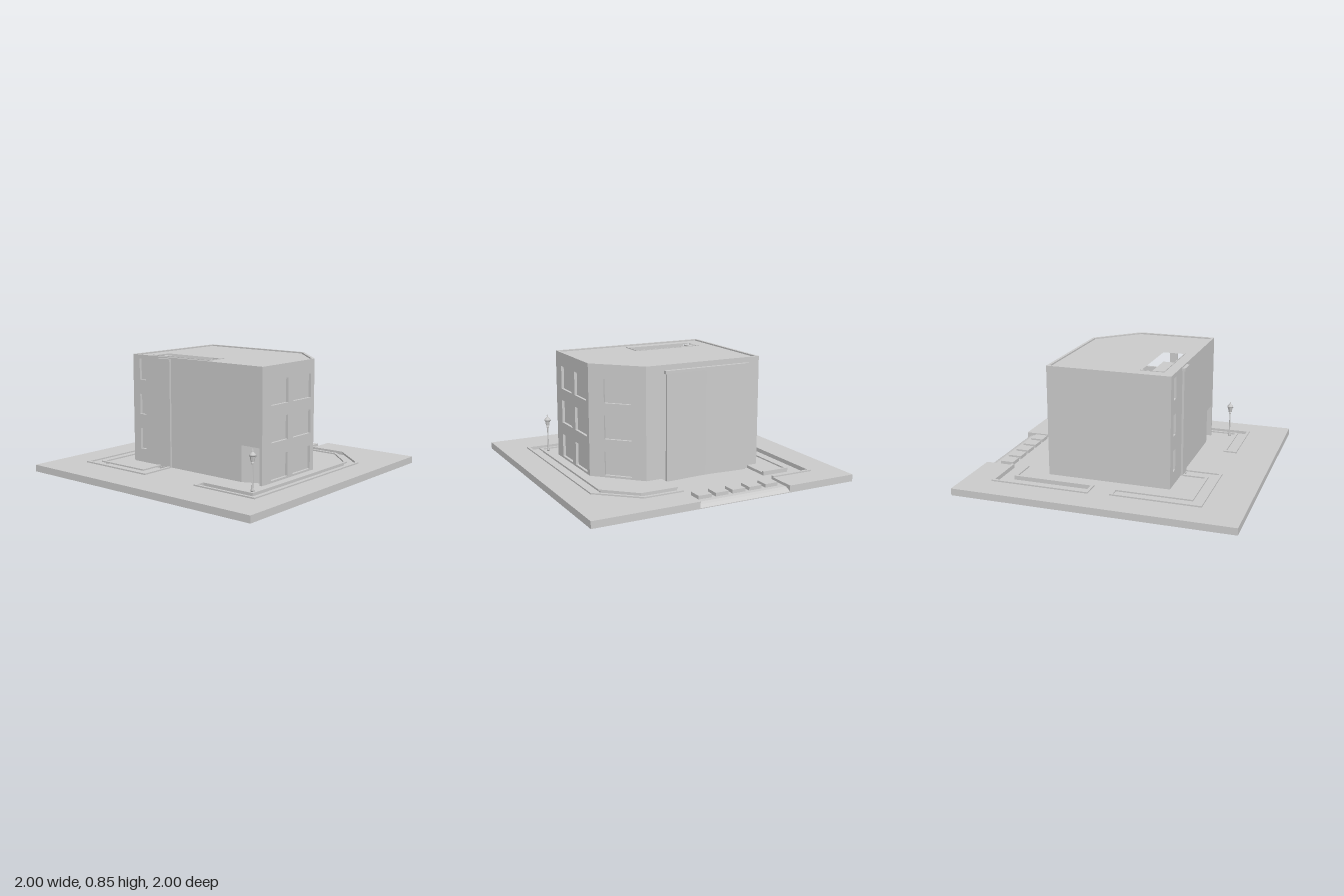
import * as THREE from 'three';

const mat = new THREE.MeshStandardMaterial({ color: 0xcccccc, flatShading: true });
const smooth = new THREE.MeshStandardMaterial({ color: 0xcccccc });

// Plan outline as [x, z] pairs
const plan = (pts) => new THREE.Shape(pts.map(([x, z]) => new THREE.Vector2(x, -z)));

export function createModel() {
  const model = new THREE.Group();

  const add = (name, geo, material = mat, parent = model) => {
    const mesh = new THREE.Mesh(geo, material);
    mesh.name = name;
    parent.add(mesh);
    return mesh;
  };
  // Extrudes a plan outline upwards from y0 to y1
  const slab = (name, pts, y0, y1, holes = []) => {
    const shape = plan(pts);
    holes.forEach((h) => shape.holes.push(plan(h)));
    const geo = new THREE.ExtrudeGeometry(shape, { depth: y1 - y0, bevelEnabled: false });
    geo.rotateX(-Math.PI / 2).translate(0, y0, 0);
    return add(name, geo);
  };
  const box = (name, x0, x1, y0, y1, z0, z1) => add(name,
    new THREE.BoxGeometry(x1 - x0, y1 - y0, z1 - z0)
      .translate((x0 + x1) / 2, (y0 + y1) / 2, (z0 + z1) / 2));

  // Ground: lower slab, and an upper layer cut out for driveway and paths
  const D0 = -0.465, D1 = 0.235;
  slab('groundSlab', [[-1, -1], [D0, -1], [D0, -0.95], [D1, -0.95], [D1, -1], [1, -1], [1, 1], [-1, 1]], 0, 0.03);
  const leftPath = [[D0, -0.78], [-0.77, -0.78], [-0.77, -0.1], [-0.67, -0.1], [-0.67, -0.68], [D0, -0.68]];
  const rightPath = [[D1, -0.68], [0.505, -0.68], [0.71, -0.49], [0.71, 0.61], [0.29, 0.61],
    [0.29, 0.71], [0.805, 0.71], [0.805, -0.54], [0.53, -0.78], [D1, -0.78]];
  const frontPath = [[-0.165, 0.45], [-0.165, 0.71], [-0.77, 0.71], [-0.77, 0.07], [-0.67, 0.07],
    [-0.67, 0.61], [-0.28, 0.61], [-0.28, 0.45]];
  slab('groundTop', [[-1, -1], [D0, -1], ...leftPath, [D0, -0.46], [D1, -0.46], ...rightPath,
    [D1, -1], [1, -1], [1, 1], [-1, 1]], 0.03, 0.05, [frontPath]);

  // Low kerbs: a mitred strip along each path edge
  const kerb = (pts, d) => {
    const normals = pts.slice(1).map(([x, z], i) => {
      const v = new THREE.Vector2(x - pts[i][0], z - pts[i][1]).normalize();
      return new THREE.Vector2(v.y, -v.x);
    });
    const outer = pts.map(([x, z], i) => {
      const a = normals[Math.max(i - 1, 0)], b = normals[Math.min(i, normals.length - 1)];
      const k = d / (1 + a.dot(b));
      return [x + (a.x + b.x) * k, z + (a.y + b.y) * k];
    });
    slab('pathKerb', [...pts, ...outer.reverse()], 0.05, 0.06);
  };
  kerb(leftPath, -0.02);
  kerb(rightPath, 0.02);
  kerb(frontPath, -0.02);

  // Driveway: sloping lip and a row of paving blocks
  const lip = new THREE.Shape([[0.95, 0], [1, 0], [1, 0.005], [0.975, 0.022], [0.95, 0.03]]
    .map(([s, y]) => new THREE.Vector2(s, y)));
  add('drivewayLip', new THREE.ExtrudeGeometry(lip, { depth: D1 - D0, bevelEnabled: false })
    .rotateY(Math.PI / 2).translate(D0, 0, 0));
  for (let i = 0; i < 5; i++) {
    const x = -0.375 + i * 0.131;
    box('drivewayBlock', x - 0.05, x + 0.05, 0.001, 0.055, -0.91, -0.81);
  }

  // Building core, with a slanted entrance notch below and a roof well above
  const T = 0.02;
  const inner = [[-0.525, -0.445], [0.347, -0.445], [0.63, -0.162], [0.63, 0.41], [-0.525, 0.41]];
  slab('lowerCore', [...inner.slice(0, 3), [0.63, 0.36], [0.519, 0.41], inner[4]], 0.03, 0.305);
  const well = [[-0.42, 0.18], [0.11, 0.18], [0.11, 0.34], [-0.42, 0.34]];
  slab('upperCore', inner, 0.305, 0.84, [well]);
  slab('wellRim', [[-0.425, 0.175], [0.115, 0.175], [0.115, 0.345], [-0.425, 0.345]], 0.84, 0.845, [well]);

  // Stairs going down into the roof well
  box('wellFloor', -0.42, 0.11, 0.7, 0.77, 0.18, 0.34);
  for (let i = 0; i < 6; i++) {
    box('roofStep', -0.42 + i * 0.038, -0.382 + i * 0.038, 0.77, 0.83 - i * 0.01, 0.18, 0.34);
  }

  // Outer walls, each with rectangular openings [u0, u1, y0, y1]
  const wall = (name, [ax, az], [bx, bz], openings = []) => {
    const len = Math.hypot(bx - ax, bz - az);
    const rect = (C, u0, u1, y0, y1) => new C(
      [[u0, y0], [u1, y0], [u1, y1], [u0, y1]].map(([u, y]) => new THREE.Vector2(u, y)));
    const shape = rect(THREE.Shape, 0, len, 0.03, 0.85);
    openings.forEach((o) => shape.holes.push(rect(THREE.Path, ...o)));
    const geo = new THREE.ExtrudeGeometry(shape, { depth: T, bevelEnabled: false }).translate(0, 0, -T);
    const mesh = add(name, geo);
    mesh.position.set(ax, 0, az);
    mesh.rotation.y = Math.atan2(az - bz, bx - ax);
  };
  const grid = (cols, rows) => cols.flatMap((c) => rows.map((r) => [...c, ...r]));
  const rows = [[0.065, 0.235], [0.325, 0.495], [0.58, 0.75]];
  const P = [[-0.545, 0.43], [0.65, 0.43], [0.65, -0.17], [0.355, -0.465], [-0.545, -0.465]];
  wall('frontWall', P[0], P[1], [
    ...grid([[0.065, 0.125]], [[0.15, 0.305], [0.41, 0.56], [0.665, 0.82]]),
    [1.02, 1.175, 0.05, 0.305],
  ]);
  wall('sideWallWithWindows', P[1], P[2], grid([[0.1, 0.29], [0.35, 0.56]], rows));
  wall('cornerWall', P[2], P[3], grid([[0.113, 0.311]], rows));
  wall('backWall', P[3], P[4]);
  wall('plainSideWall', P[4], P[0]);

  // Slanted front door
  slab('frontDoor', [[0.475, 0.43], [0.632, 0.36], [0.632, 0.352], [0.475, 0.412]], 0.05, 0.305);

  // Narrow front panel with a cap
  box('frontPanel', -0.272, -0.168, 0.03, 0.82, 0.425, 0.445);
  box('frontPanelCap', -0.28, -0.165, 0.82, 0.84, 0.425, 0.453);

  // Gently curved back panel under a rail
  const curve = [];
  for (let i = 0; i <= 32; i++) {
    const t = i / 32;
    curve.push([-0.435 + t * 0.64, -0.476 - 0.008 * Math.cos(t * Math.PI * 2)]);
  }
  slab('backPanel', [...curve, [0.205, -0.455], [-0.435, -0.455]], 0.03, 0.795);
  box('backPanelRail', -0.45, 0.22, 0.79, 0.812, -0.492, -0.455);

  // Street lamp
  const lamp = new THREE.Group();
  lamp.name = 'streetLamp';
  lamp.position.set(0.68, 0, 0.57);
  model.add(lamp);
  const turned = (name, pts, sides, m) => add(name,
    new THREE.LatheGeometry(pts.map(([r, y]) => new THREE.Vector2(r, y)), sides), m, lamp);
  turned('lampPost', [[0, 0.05], [0.012, 0.05], [0.012, 0.06], [0.005, 0.075], [0.005, 0.23],
    [0.009, 0.235], [0.009, 0.243], [0, 0.25]], 12, smooth);
  turned('lantern', [[0, 0.248], [0.013, 0.25], [0.02, 0.288], [0, 0.288]], 8, mat);
  turned('lampRoof', [[0, 0.286], [0.025, 0.286], [0.022, 0.297], [0.008, 0.312], [0.004, 0.318],
    [0.006, 0.325], [0, 0.335]], 12, smooth);
  return model;
}
